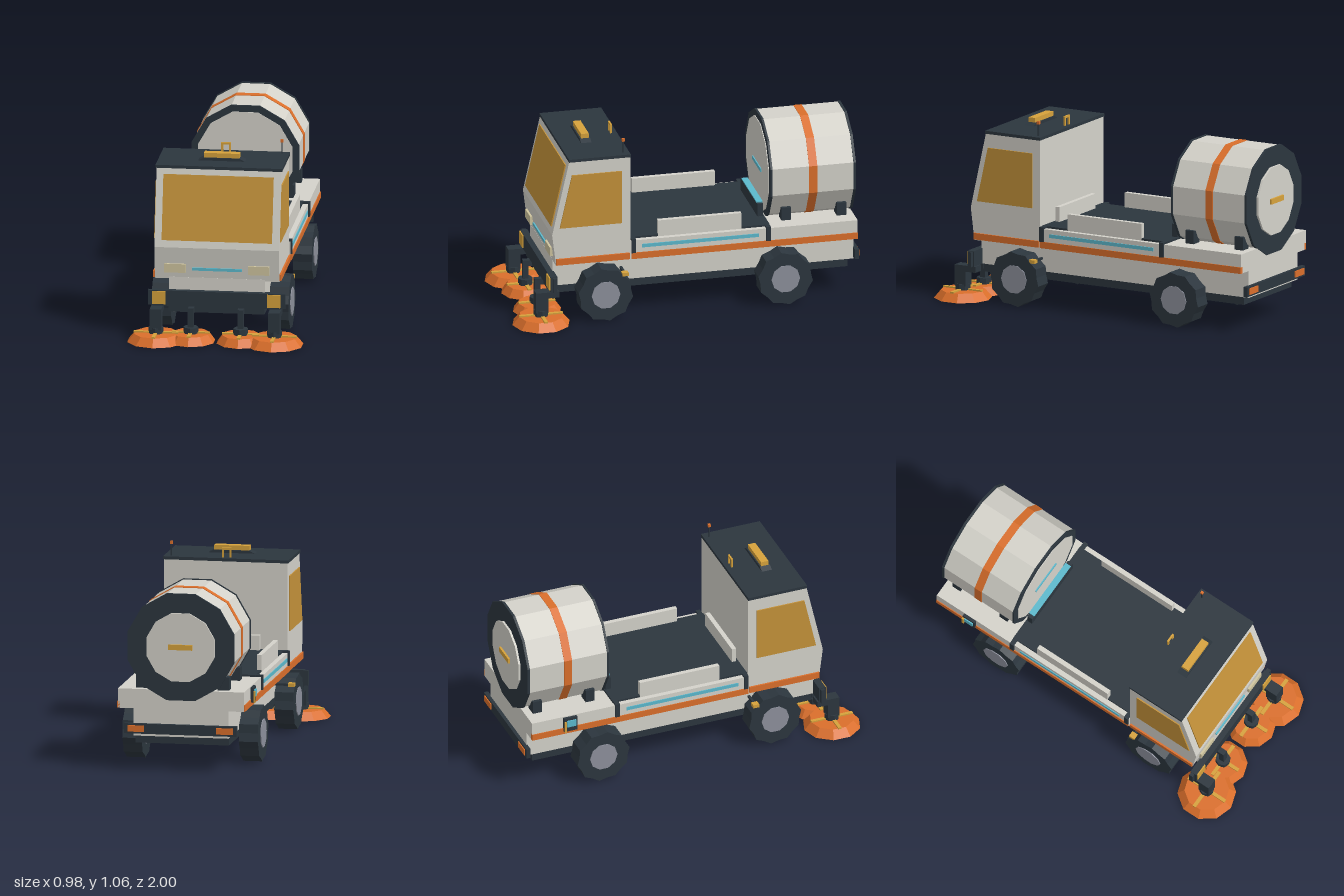
import * as THREE from 'three';

const mat = (name, color) => {
  const m = new THREE.MeshStandardMaterial({ color });
  m.name = name;
  return m;
};

export function createModel() {
  const body = mat('light grey body', 0xd4d2ca);
  const dark = mat('dark slate', 0x2c363e);
  const orange = mat('orange', 0xdb6f2b);
  const amber = mat('amber', 0xd6a23c);
  const glass = mat('amber glass', 0xc4923a);
  const cyan = mat('cyan', 0x5cb9cd);
  const cream = mat('lamp cream', 0xcfc59f);
  const hubGrey = mat('hub grey', 0x8d909c);

  const model = new THREE.Group();
  model.name = 'sweeperTruck';

  // Faceted mesh: unshared corners give flat normals
  const add = (name, geometry, material, parent = model) => {
    const g = geometry.index ? geometry.toNonIndexed() : geometry;
    g.computeVertexNormals();
    const mesh = new THREE.Mesh(g, material);
    mesh.name = name;
    parent.add(mesh);
    return mesh;
  };
  // Box given by its limits on each axis
  const box = (name, m, x0, x1, y0, y1, z0, z1, parent) =>
    add(name, new THREE.BoxGeometry(Math.abs(x1 - x0), y1 - y0, Math.abs(z1 - z0))
      .translate((x0 + x1) / 2, (y0 + y1) / 2, (z0 + z1) / 2), m, parent);
  // Box mirrored on both sides
  const pair = (name, m, x0, x1, y0, y1, z0, z1) => {
    for (const s of [1, -1]) box(name, m, s * x0, s * x1, y0, y1, z0, z1);
  };
  // Side outline in [z, y], extruded across x and centred on x
  const sideExtrude = (points, width, x = 0) =>
    new THREE.ExtrudeGeometry(new THREE.Shape(points.map(p => new THREE.Vector2(...p))),
      { depth: width, bevelEnabled: false })
      .translate(0, 0, -width / 2).rotateY(-Math.PI / 2).translate(x, 0, 0);

  // Chassis and lower body
  box('undercarriage', dark, -0.265, 0.265, 0.155, 0.2, -0.935, 0.745);
  box('lowerBody', body, -0.27, 0.27, 0.2, 0.36, -0.97, 0.757);
  box('deckBody', body, -0.358, 0.358, 0.355, 0.465, -0.972, 0.33);
  pair('sideStripe', orange, 0.345, 0.363, 0.355, 0.392, -0.972, 0.325);
  pair('cabStripe', orange, 0.345, 0.36, 0.355, 0.392, 0.335, 0.755);

  // Cab
  add('cab', sideExtrude([[0.33, 0.35], [0.755, 0.35], [0.778, 0.535], [0.68, 0.97], [0.33, 0.97]], 0.7), body);
  box('roof', dark, -0.356, 0.356, 0.967, 0.984, 0.328, 0.682);
  const windshield = add('windshield', new THREE.BoxGeometry(0.62, 0.37, 0.009), glass);
  windshield.position.set(0, 0.755, 0.731);
  windshield.rotation.x = -0.222;
  for (const s of [1, -1]) {
    add('sideWindow', sideExtrude([[0.38, 0.575], [0.735, 0.575], [0.665, 0.888], [0.38, 0.888]], 0.008, s * 0.353), glass);
  }
  pair('headlight', cream, 0.175, 0.295, 0.39, 0.44, 0.74, 0.778);
  box('frontLightStrip', cyan, -0.14, 0.14, 0.404, 0.42, 0.74, 0.772);

  // Roof beacon, handle and antenna
  const base = new THREE.Shape([[-0.135, 0.982], [0.135, 0.982], [0.1, 1], [-0.1, 1]].map(p => new THREE.Vector2(...p)));
  add('beaconBase', new THREE.ExtrudeGeometry(base, { depth: 0.06, bevelEnabled: false }).translate(0, 0, 0.5), dark);
  box('beacon', amber, -0.1, 0.1, 0.995, 1.026, 0.508, 0.552);
  pair('roofHandlePost', amber, 0.016, 0.027, 0.98, 1.038, 0.358, 0.368);
  box('roofHandleBar', amber, -0.027, 0.027, 1.026, 1.038, 0.358, 0.368);
  box('antenna', dark, 0.311, 0.318, 0.98, 1.052, 0.358, 0.365);
  box('antennaTip', orange, 0.307, 0.322, 1.05, 1.066, 0.354, 0.369);

  // Open deck with side boards
  box('deckFloor', dark, -0.328, 0.328, 0.46, 0.476, -0.475, 0.33);
  pair('sideBoard', body, 0.303, 0.33, 0.465, 0.56, -0.312, 0.165);
  box('frontBoard', body, -0.2, 0.2, 0.465, 0.56, 0.292, 0.318);
  box('rearBoard', dark, -0.2, 0.2, 0.465, 0.55, -0.468, -0.435);
  box('rearBoardStrip', cyan, -0.18, 0.18, 0.55, 0.557, -0.47, -0.434);
  pair('sideLightStrip', cyan, 0.35, 0.363, 0.42, 0.44, -0.405, 0.265);
  for (const z of [0.313, -0.46]) pair('deckPost', dark, 0.325, 0.367, 0.392, 0.476, z - 0.013, z + 0.013);

  // Twelve-sided drum lying along z
  const drum = new THREE.Group();
  drum.name = 'drum';
  drum.position.y = 0.71;
  model.add(drum);
  const drumSlice = (name, m, r, z0, z1) =>
    add(name, new THREE.CylinderGeometry(r, r, z1 - z0, 12, 1, false, Math.PI / 12)
      .rotateX(Math.PI / 2).translate(0, 0, (z0 + z1) / 2), m, drum);
  drumSlice('drumShell', body, 0.308, -0.965, -0.496);
  drumSlice('drumBand', orange, 0.311, -0.755, -0.708);
  drumSlice('drumFrontRim', dark, 0.313, -0.498, -0.486);
  drumSlice('drumRearRim', dark, 0.313, -0.976, -0.962);
  drumSlice('drumFrontLid', body, 0.275, -0.49, -0.482);
  drumSlice('drumRearLid', body, 0.2, -0.98, -0.988 + 0.02);
  drumSlice('drumRearCover', body, 0.2, -0.988, -0.978);
  box('drumFrontStrip', cyan, -0.1, 0.1, -0.01, 0.01, -0.484, -0.476, drum);
  box('drumRearHandle', amber, -0.068, 0.068, -0.013, 0.017, -1, -0.986, drum);
  for (const z of [-0.585, -0.902]) pair('drumCradle', dark, 0.2, 0.265, 0.46, 0.54, z - 0.027, z + 0.027);

  // Control box on one side
  box('controlBox', dark, -0.375, -0.35, 0.375, 0.46, -0.785, -0.705);
  box('controlScreen', cyan, -0.382, -0.374, 0.405, 0.445, -0.77, -0.715);
  box('controlLever', amber, -0.386, -0.37, 0.375, 0.44, -0.785, -0.772);

  // Bumpers and lamps
  box('frontBumper', dark, -0.365, 0.365, 0.2, 0.288, 0.75, 0.79);
  box('frontBumperLip', dark, -0.27, 0.27, 0.17, 0.2, 0.745, 0.78);
  pair('frontMarker', amber, 0.285, 0.36, 0.21, 0.284, 0.78, 0.797);
  box('rearBumper', dark, -0.32, 0.32, 0.215, 0.272, -0.99, -0.965);
  pair('rearLamp', orange, 0.205, 0.3, 0.226, 0.262, -0.996, -0.98);
  pair('sideMarkerArm', dark, 0.26, 0.35, 0.268, 0.28, 0.358, 0.372);
  pair('sideMarker', amber, 0.35, 0.385, 0.265, 0.285, 0.347, 0.383);

  // Lugged wheels
  const tread = [];
  for (let i = 0; i < 20; i++) {
    const a = (i + 0.5) * Math.PI / 10, r = i % 2 ? 0.146 : 0.158;
    tread.push([Math.cos(a) * r, Math.sin(a) * r]);
  }
  for (const z of [0.478, -0.553]) for (const s of [1, -1]) {
    const wheel = new THREE.Group();
    wheel.name = 'wheel';
    wheel.position.set(s * 0.331, 0.163, z);
    model.add(wheel);
    add('tyre', sideExtrude(tread, 0.108), dark, wheel);
    add('hub', new THREE.CylinderGeometry(0.082, 0.082, 0.118, 10).rotateZ(Math.PI / 2), hubGrey, wheel);
    add('axle', new THREE.CylinderGeometry(0.03, 0.03, 0.16, 8).rotateZ(Math.PI / 2).translate(-s * 0.06, 0, 0), dark, wheel);
  }

  // Rotating brushes on arms
  const brush = (x, z, r, post, depth) => {
    const g = new THREE.Group();
    g.name = 'brush';
    g.position.set(x, 0, z);
    model.add(g);
    add('bristles', new THREE.CylinderGeometry(r * 0.76, r, 0.046, 10).translate(0, 0.033, 0), orange, g);
    const l = r * 0.76;
    box('brushBarAcross', amber, -l, l, 0.054, 0.064, -0.01, 0.01, g);
    box('brushBarAlong', amber, -0.01, 0.01, 0.054, 0.064, -l, l, g);
    add('brushHub', new THREE.CylinderGeometry(0.042, 0.042, 0.036, 8).translate(0, 0.073, 0), dark, g);
    box('brushPost', dark, -post, post, 0.08, 0.2, -depth, depth, g);
    box('brushArm', dark, -post, post, 0.165, 0.2, 0.74 - z, depth, g);
  };
  for (const s of [1, -1]) {
    brush(s * 0.333, 0.838, 0.164, 0.032, 0.035);
    brush(s * 0.14, 0.815, 0.138, 0.016, 0.016);
    box('brushBracket', dark, s * 0.29, s * 0.385, 0.2, 0.285, 0.755, 0.778);
  }
  return model;
}
